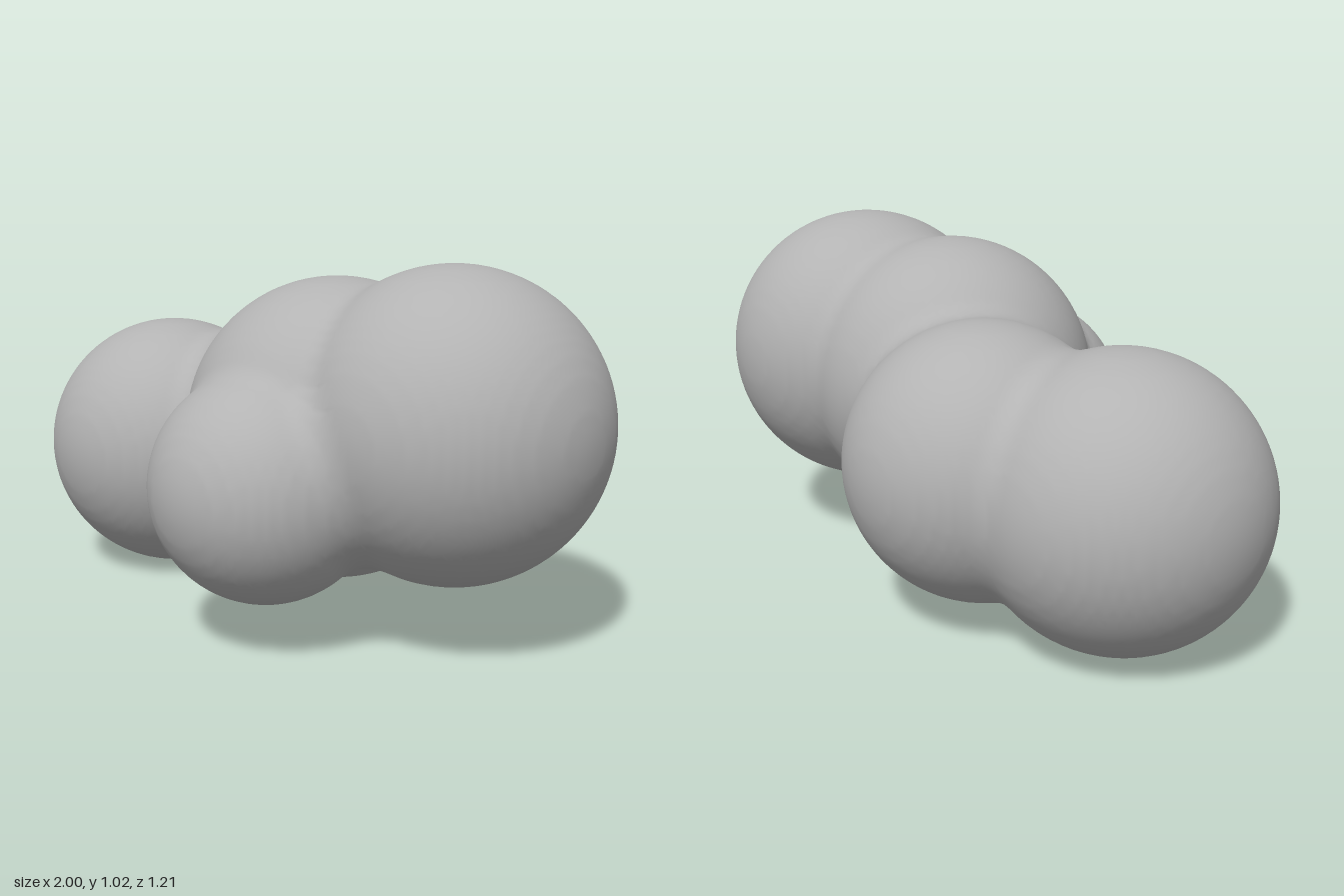
import * as THREE from 'three';

const V = (x, y, z) => new THREE.Vector3(x, y, z);

// Five lobes (centre, radius); the grooves between them are filled as by a rolling ball
const LOBES = [
  { c: V(-0.602, 0.4, -0.072), r: 0.398 },
  { c: V(-0.23, 0.446, -0.225), r: 0.383 },
  { c: V(0.21, 0.56, 0.0), r: 0.42 },
  { c: V(0.23, 0.44, 0.288), r: 0.315 },
  { c: V(0.577, 0.605, -0.055), r: 0.422 },
];
const BALL = 0.11;
const STEP = 0.025;

// Where the ball's centre may lie: grown spheres, circles where two meet, points where three meet
const grown = LOBES.map(l => ({ c: l.c, r: l.r + BALL }));
const reachable = p => grown.every(s => p.distanceTo(s.c) > s.r - 1e-5);

const circles = [];
const corners = [];
grown.forEach((a, i) => grown.slice(i + 1).forEach((b, j) => {
  const n = b.c.clone().sub(a.c);
  const d = n.length();
  n.normalize();
  const t = (d * d + a.r * a.r - b.r * b.r) / (2 * d);
  const r2 = a.r * a.r - t * t;
  if (r2 <= 0) return;
  const circle = { c: a.c.clone().addScaledVector(n, t), n, r: Math.sqrt(r2) };
  circles.push(circle);
  // Points of this circle that also lie on a third sphere
  grown.slice(i + j + 2).forEach(s => {
    const w = s.c.clone().sub(circle.c);
    const h = w.dot(n);
    const u = w.addScaledVector(n, -h);
    const g = u.length();
    u.normalize();
    const k = (r2 + g * g + h * h - s.r * s.r) / (2 * g);
    if (k * k >= r2) return;
    const side = n.clone().cross(u);
    for (const sign of [-1, 1]) {
      const p = circle.c.clone().addScaledVector(u, k).addScaledVector(side, sign * Math.sqrt(r2 - k * k));
      if (reachable(p)) corners.push(p);
    }
  });
}));

// Signed field: negative inside the body
const q = V(0, 0, 0);
function field(p) {
  if (reachable(p)) return BALL;
  let best = Infinity;
  const consider = () => {
    const d = p.distanceTo(q);
    if (d < best && reachable(q)) best = d;
  };
  for (const s of grown) {
    q.copy(p).sub(s.c).setLength(s.r).add(s.c);
    consider();
  }
  for (const o of circles) {
    q.copy(p).sub(o.c);
    q.addScaledVector(o.n, -q.dot(o.n)).setLength(o.r).add(o.c);
    consider();
  }
  for (const k of corners) best = Math.min(best, p.distanceTo(k));
  return BALL - best;
}

// Slide a point along the field's slope onto the surface
function settle(p) {
  const e = 0.002;
  for (let k = 0; k < 3; k++) {
    const f = field(p);
    const g = V(0, 0, 0);
    for (const axis of ['x', 'y', 'z']) {
      const a = p.clone(), b = p.clone();
      a[axis] += e;
      b[axis] -= e;
      g[axis] = field(a) - field(b);
    }
    if (g.lengthSq() > 0) p.addScaledVector(g.normalize(), -THREE.MathUtils.clamp(f, -STEP, STEP) * 0.9);
  }
  return p;
}

// Wrap the field in a skin of quads, one vertex per crossed grid cell
function skinGeometry() {
  const min = V(-1.06, -0.06, -0.67);
  const size = [86, 47, 54];
  const stride = [1, size[0], size[0] * size[1]];
  const at = (x, y, z) => V(x, y, z).multiplyScalar(STEP).add(min);
  const values = new Float32Array(size[0] * size[1] * size[2]);
  const eachPoint = (from, trim, fn) => {
    for (let z = from; z < size[2] - trim; z++)
      for (let y = from; y < size[1] - trim; y++)
        for (let x = from; x < size[0] - trim; x++) fn(x, y, z, x + y * stride[1] + z * stride[2]);
  };
  eachPoint(0, 0, (x, y, z, i) => { values[i] = field(at(x, y, z)); });

  const positions = [];
  const vertexOf = new Map();
  eachPoint(0, 1, (x, y, z, i) => {
    const sum = V(0, 0, 0);
    let count = 0;
    for (let corner = 0; corner < 8; corner++) {
      const o = [corner & 1, (corner >> 1) & 1, corner >> 2];
      const ia = i + o[0] * stride[0] + o[1] * stride[1] + o[2] * stride[2];
      for (let u = 0; u < 3; u++) {
        if (o[u]) continue;
        const a = values[ia], b = values[ia + stride[u]];
        if ((a < 0) === (b < 0)) continue;
        const m = [...o];
        m[u] = a / (a - b);
        sum.add(V(...m));
        count++;
      }
    }
    if (!count) return;
    sum.divideScalar(count);
    vertexOf.set(i, positions.length / 3);
    positions.push(...settle(at(x + sum.x, y + sum.y, z + sum.z)).toArray());
  });

  const index = [];
  eachPoint(1, 1, (x, y, z, i) => {
    for (let u = 0; u < 3; u++) {
      const inside = values[i] < 0;
      if (inside === (values[i + stride[u]] < 0)) continue;
      const sv = stride[(u + 1) % 3], sw = stride[(u + 2) % 3];
      const [a, b, c, d] = [i, i - sv, i - sv - sw, i - sw].map(k => vertexOf.get(k));
      index.push(...(inside ? [a, b, c, a, c, d] : [a, c, b, a, d, c]));
    }
  });

  const geometry = new THREE.BufferGeometry();
  geometry.setAttribute('position', new THREE.Float32BufferAttribute(positions, 3));
  geometry.setIndex(index);
  geometry.computeVertexNormals();
  return geometry;
}

export function createModel() {
  const grey = new THREE.MeshStandardMaterial({ color: 0xb3b3b3 });
  grey.name = 'grey';
  const body = new THREE.Mesh(skinGeometry(), grey);
  body.name = 'blendedLobes';
  const model = new THREE.Group();
  model.name = 'lobedBody';
  model.add(body);
  return model;
}
